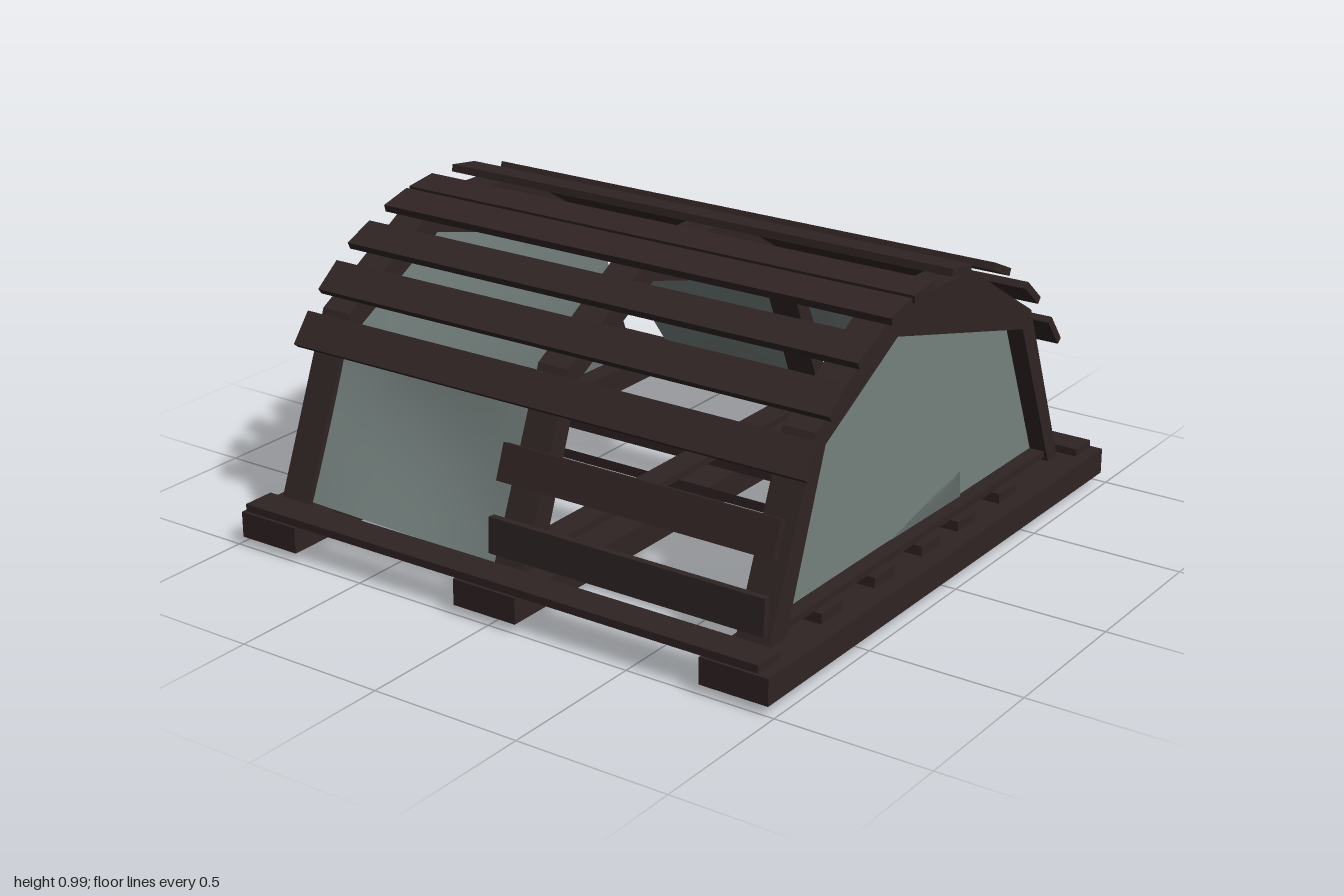
import * as THREE from 'three';

const wood = new THREE.MeshStandardMaterial({ color: 0x302424 });
wood.name = 'darkWood';
const mesh = new THREE.MeshStandardMaterial({ color: 0x75817e, side: THREE.DoubleSide });
mesh.name = 'greyNetting';

export function createModel() {
  const model = new THREE.Group();
  model.name = 'slattedTrap';

  const add = (name, geometry, material = wood) => {
    const m = new THREE.Mesh(geometry, material);
    m.name = name;
    model.add(m);
    return m;
  };

  // Box given by its limits on each axis
  const box = (name, x0, x1, y0, y1, z0, z1) => {
    const g = new THREE.BoxGeometry(x1 - x0, y1 - y0, z1 - z0);
    g.translate((x0 + x1) / 2, (y0 + y1) / 2, (z0 + z1) / 2);
    return add(name, g);
  };

  // Four-cornered net sheet, bulging by the given vector in its middle
  const sheet = (name, a, b, c, d, bulge) => {
    const g = new THREE.PlaneGeometry(1, 1, 10, 8);
    const [A, B, C, D, S] = [a, b, c, d, bulge].map((p) => new THREE.Vector3(...p));
    const pos = g.attributes.position;
    for (let i = 0; i < pos.count; i++) {
      const u = pos.getX(i) + 0.5, v = pos.getY(i) + 0.5;
      const low = A.clone().lerp(B, u), high = D.clone().lerp(C, u);
      low.lerp(high, v).addScaledVector(S, Math.sin(Math.PI * u) * Math.sin(Math.PI * v));
      pos.setXYZ(i, low.x, low.y, low.z);
    }
    g.computeVertexNormals();
    return add(name, g, mesh);
  };

  // Base runners and the end boards across them
  for (const [x0, x1] of [[-0.98, -0.76], [-0.13, 0.1], [0.75, 0.98]]) {
    box('baseRunner', x0, x1, 0.03, 0.115, -1, 1);
  }
  box('frontCrossBoard', -0.97, 0.94, 0.115, 0.14, 0.88, 0.99);
  box('backCrossBoard', -0.97, 0.94, 0.115, 0.14, -0.99, -0.89);

  // Floor slats, open on the upper side
  for (const z of [0.58, 0.29, 0.02, -0.2, -0.46]) {
    const slat = box('floorSlat', -0.84, 0.92, 0.115, 0.148, z - 0.055, z + 0.055);
    const index = Array.from(slat.geometry.index.array);
    index.splice(12, 6);
    slat.geometry.setIndex(index);
    slat.geometry.clearGroups();
  }

  // Arched frames: outline and opening as (z, y) points
  const outer = [[0.88, 0.13], [0.65, 0.7], [0.24, 0.94], [-0.2, 0.94], [-0.6, 0.7], [-0.83, 0.13]];
  const inner = [[0.79, 0.13], [0.6, 0.65], [0.22, 0.855], [-0.55, 0.65], [-0.77, 0.13]];
  const toPoints = (list) => list.map((p) => new THREE.Vector2(...p));
  const archShape = new THREE.Shape(toPoints([...outer, ...inner.slice().reverse()]));
  for (const [x0, x1] of [[-0.92, -0.81], [-0.07, 0.04], [0.79, 0.9]]) {
    const g = new THREE.ExtrudeGeometry(archShape, { depth: x1 - x0, bevelEnabled: false });
    g.rotateY(-Math.PI / 2).translate(x1, 0, 0);
    add('archFrame', g);
    box('archSill', x0 + 0.01, x1 - 0.01, 0.145, 0.168, -0.83, 0.8);
  }

  // Long slats over the arch: z, y, tilt in degrees, and left end
  const slats = [
    [0.89, 0.235, 87, -0.07], [0.83, 0.445, 70, -0.07],
    [0.71, 0.64, 52], [0.58, 0.775, 38], [0.43, 0.875, 24], [0.25, 0.945, 15],
    [0.125, 0.97, 8], [-0.09, 0.975, -8], [-0.34, 0.91, -24], [-0.55, 0.775, -40], [-0.71, 0.605, -52],
  ];
  for (const [z, y, tilt, start] of slats) {
    const x0 = start ?? -0.955, x1 = start ? 0.9 : 0.93;
    const s = add('archSlat', new THREE.BoxGeometry(x1 - x0, 0.024, 0.115));
    s.position.set((x0 + x1) / 2, y, z);
    s.rotation.x = THREE.MathUtils.degToRad(tilt);
  }

  // Netting over both arched ends; the far one leans inward at the back
  const endNet = (name, x, lean) => {
    const g = new THREE.ShapeGeometry(new THREE.Shape(toPoints(inner)));
    g.rotateY(-Math.PI / 2);
    const pos = g.attributes.position;
    for (let i = 0; i < pos.count; i++) {
      pos.setX(i, x + lean * Math.max(0, -pos.getZ(i)) * pos.getY(i));
    }
    g.computeVertexNormals();
    add(name, g, mesh);
  };
  endNet('leftEndNet', 0.84, 0);
  endNet('rightEndNet', -0.84, 0.33);
  sheet('netFold', [0.84, 0.16, 0.15], [0.84, 0.14, -0.3], [0.89, 0.29, -0.2], [0.88, 0.28, -0.18], [0, 0, 0]);

  // Netting on the long sides
  sheet('frontNet', [-0.84, 0.14, 0.86], [-0.05, 0.12, 0.86], [-0.05, 0.66, 0.65], [-0.84, 0.66, 0.65], [0, 0, -0.04]);
  sheet('backRightNet', [-0.67, 0.13, -0.89], [-0.04, 0.13, -0.89], [-0.04, 0.62, -0.62], [-0.8, 0.68, -0.6], [0, 0, 0.03]);
  sheet('backLeftNet', [0.02, 0.13, -0.89], [0.83, 0.13, -0.89], [0.86, 0.62, -0.61], [0.02, 0.6, -0.62], [0, 0, 0.03]);

  // Net edges hanging under the runners
  for (const x of [-0.86, 0.83]) {
    sheet('netUnderEdge', [x - 0.025, 0.028, 0.8], [x + 0.025, 0.028, 0.8],
      [x + 0.025, 0.01, -0.84], [x - 0.025, 0, -0.84], [0, -0.008, 0]);
  }

  return model;
}
